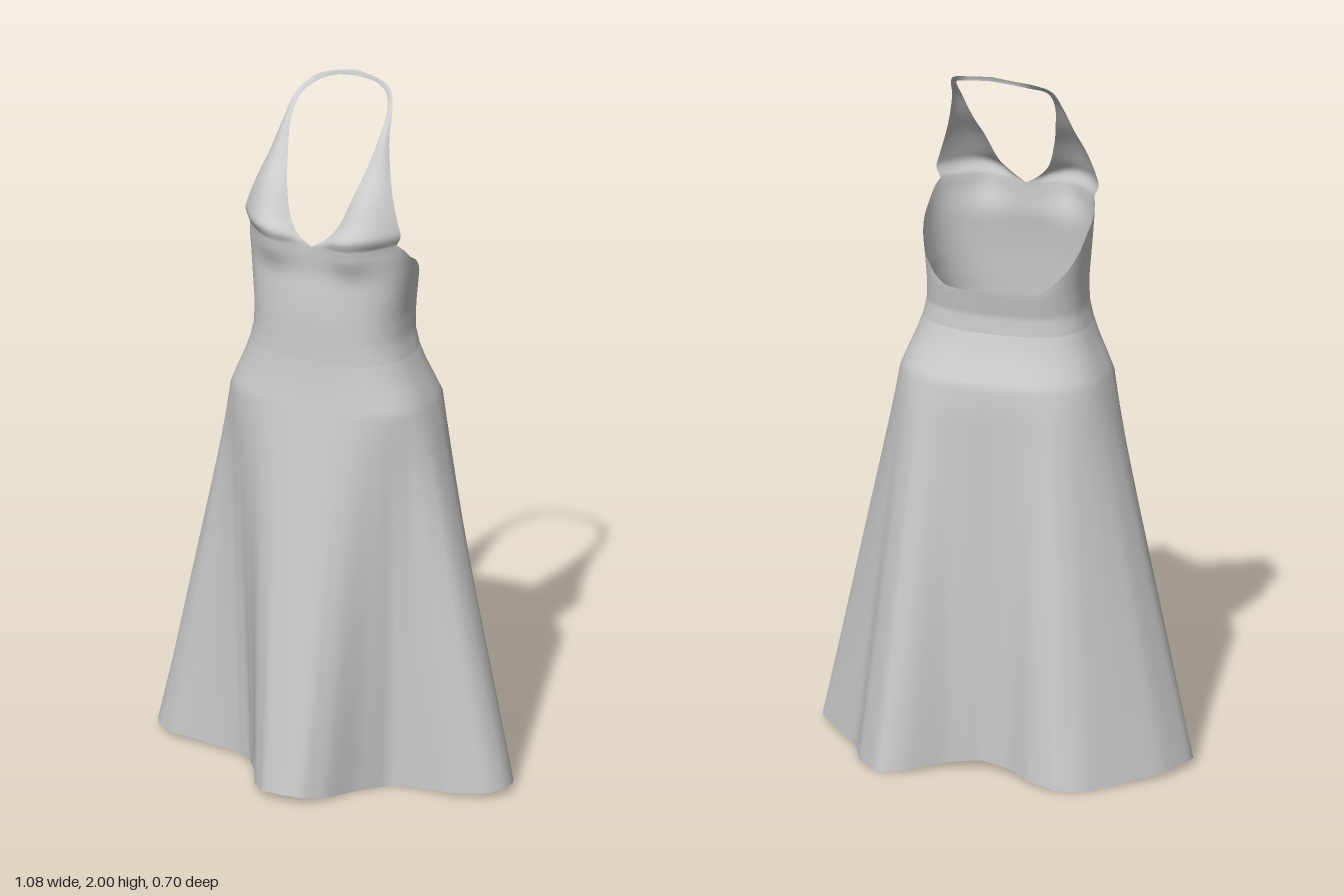
import * as THREE from 'three';
import { mergeGeometries, mergeVertices } from 'three/addons/utils/BufferGeometryUtils.js';

const COLS = 120, WAIST = 1.25, HIP = 1.1, ARM = 66;

// Piecewise linear lookup: rows are [key, value, value...]
function lookup(rows, k) {
  let i = 0;
  while (i < rows.length - 2 && k > rows[i + 1][0]) i++;
  const a = rows[i], b = rows[i + 1];
  const t = THREE.MathUtils.clamp((k - a[0]) / (b[0] - a[0]), 0, 1);
  return a.slice(1).map((v, j) => v + (b[j + 1] - v) * t);
}

// Body rings: height, half width, front depth, back depth
const rings = [
  [1.0, 0.325, 0.2, 0.235], [1.1, 0.295, 0.188, 0.22], [1.15, 0.275, 0.18, 0.195],
  [1.2, 0.253, 0.174, 0.172], [1.25, 0.235, 0.17, 0.156], [1.3, 0.223, 0.168, 0.152],
  [1.37, 0.222, 0.166, 0.165], [1.44, 0.229, 0.16, 0.165], [1.5, 0.235, 0.152, 0.165],
  [1.56, 0.239, 0.155, 0.165], [1.62, 0.24, 0.155, 0.165],
];

// Hem folds per side: angle from the front, |x|, z
const hemLeft = [
  [0, 0, 0.35], [12, 0.06, 0.34], [23, 0.11, 0.29], [35, 0.155, 0.2], [48, 0.22, 0.12],
  [60, 0.3, 0.11], [70, 0.42, 0.12], [80, 0.51, 0.09], [88, 0.54, 0.04], [95, 0.54, -0.01],
  [108, 0.46, -0.1], [122, 0.38, -0.18], [135, 0.34, -0.27], [146, 0.26, -0.355],
  [154, 0.19, -0.335], [166, 0.09, -0.25], [180, 0, -0.22],
];
const hemRight = [
  [0, 0, 0.35], [12, 0.06, 0.34], [23, 0.11, 0.29], [35, 0.15, 0.2], [48, 0.2, 0.125],
  [60, 0.25, 0.1], [70, 0.35, 0.085], [78, 0.46, 0.075], [86, 0.52, 0.04], [94, 0.545, -0.015],
  [106, 0.5, -0.13], [120, 0.42, -0.22], [134, 0.33, -0.31], [146, 0.26, -0.34],
  [156, 0.17, -0.31], [167, 0.09, -0.25], [180, 0, -0.22],
];

// Upper edge of the bodice: angle from the front, height
const topEdge = [
  [0, 1.585], [66, 1.6], [75, 1.58], [90, 1.535], [105, 1.48],
  [120, 1.435], [140, 1.39], [150, 1.375], [180, 1.37],
];

// Rounded body section with a bust swelling
function bodyPoint(deg, y) {
  const [w, f, b] = lookup(rings, y);
  const p = THREE.MathUtils.degToRad(deg), s = Math.sin(p), c = Math.cos(p);
  const x = Math.sign(s) * w * Math.abs(s) ** 0.77;
  let z = Math.sign(c) * (c > 0 ? f : b) * Math.abs(c) ** 0.77;
  if (c > 0) {
    z += 0.026 * Math.exp(-(((Math.abs(x) - 0.12) / 0.06) ** 2) - ((y - 1.58) / 0.06) ** 2);
  }
  return new THREE.Vector3(x, y, z);
}

// Straight fall from the hip to the folded hem
function skirtPoint(deg, t) {
  const [hx, hz] = lookup(deg >= 0 ? hemLeft : hemRight, Math.abs(deg));
  const hemY = 0.01 + 0.01 * Math.cos(THREE.MathUtils.degToRad(deg * 4));
  return new THREE.Vector3(Math.sign(deg) * hx, hemY, hz).lerp(bodyPoint(deg, HIP), t);
}

// Surface over a grid of points, columns running to the right seen from outside
function grid(rows, cols, point) {
  const pos = [], index = [];
  for (let r = 0; r <= rows; r++) {
    for (let c = 0; c <= cols; c++) pos.push(...point(r, c).toArray());
  }
  for (let r = 0; r < rows; r++) {
    for (let c = 0; c < cols; c++) {
      const a = r * (cols + 1) + c, d = a + cols + 1;
      index.push(a, a + 1, d + 1, a, d + 1, d);
    }
  }
  const g = new THREE.BufferGeometry();
  g.setAttribute('position', new THREE.Float32BufferAttribute(pos, 3));
  g.setIndex(index);
  return g;
}

const angle = (c) => -180 + (360 * c) / COLS;

// Halter strap stations: inner edge, middle, outer edge
const stations = [
  [[0.04, 1.612, 0.152], [0.14, 1.625, 0.176], [0.236, 1.63, 0.08]],
  [[0.072, 1.65, 0.135], [0.15, 1.66, 0.155], [0.229, 1.66, 0.08]],
  [[0.1, 1.73, 0.1], [0.155, 1.73, 0.112], [0.206, 1.73, 0.066]],
  [[0.12, 1.8, 0.053], [0.155, 1.8, 0.058], [0.182, 1.8, 0.033]],
  [[0.135, 1.88, 0.003], [0.15, 1.88, 0.005], [0.161, 1.88, -0.006]],
  [[0.132, 1.938, -0.055], [0.14, 1.94, -0.053], [0.147, 1.942, -0.056]],
  [[0.1, 1.966, -0.11], [0.106, 1.972, -0.11], [0.112, 1.978, -0.112]],
  [[0.06, 1.979, -0.132], [0.062, 1.986, -0.133], [0.063, 1.991, -0.135]],
  [[0, 1.985, -0.137], [0, 1.992, -0.139], [0, 2.0, -0.142]],
];

function strap(side) {
  const cols = ARM / 3, rows = 36;
  const curves = [];
  for (let c = 0; c <= cols; c++) {
    const t = c / cols, deg = t * ARM;
    const pts = stations.map(([a, m, b]) => new THREE.Vector3(...a.map((v, i) =>
      v * (1 - t) * (1 - 2 * t) + m[i] * 4 * t * (1 - t) + b[i] * t * (2 * t - 1))));
    pts.unshift(bodyPoint(deg, lookup(topEdge, deg)[0]));
    curves.push(new THREE.CatmullRomCurve3(pts));
  }
  return grid(rows, cols, (r, c) => {
    const p = curves[side > 0 ? c : cols - c].getPoint(r / rows);
    p.x *= side;
    return p;
  });
}

export function createModel() {
  const group = new THREE.Group();
  group.name = 'halterDress';
  const material = new THREE.MeshStandardMaterial({ color: 0xcccccc, side: THREE.DoubleSide });
  const add = (name, parts) => {
    const g = mergeVertices(mergeGeometries(parts), 1e-4);
    g.computeVertexNormals();
    const mesh = new THREE.Mesh(g, material);
    mesh.name = name;
    group.add(mesh);
  };

  // Skirt: folds below the hip, then the yoke up to the waist
  const fall = 12, yoke = 6;
  add('skirt', [grid(fall + yoke, COLS, (r, c) => r <= fall
    ? skirtPoint(angle(c), r / fall)
    : bodyPoint(angle(c), HIP + ((WAIST - HIP) * (r - fall)) / yoke))]);

  // Bodice with low back, joined to the two halves of the neck strap
  const rows = 16;
  const body = grid(rows, COLS, (r, c) => {
    const deg = angle(c), top = lookup(topEdge, Math.abs(deg))[0];
    return bodyPoint(deg, WAIST + ((top - WAIST) * r) / rows);
  });
  add('bodiceAndHalter', [body, strap(1), strap(-1)]);

  return group;
}
